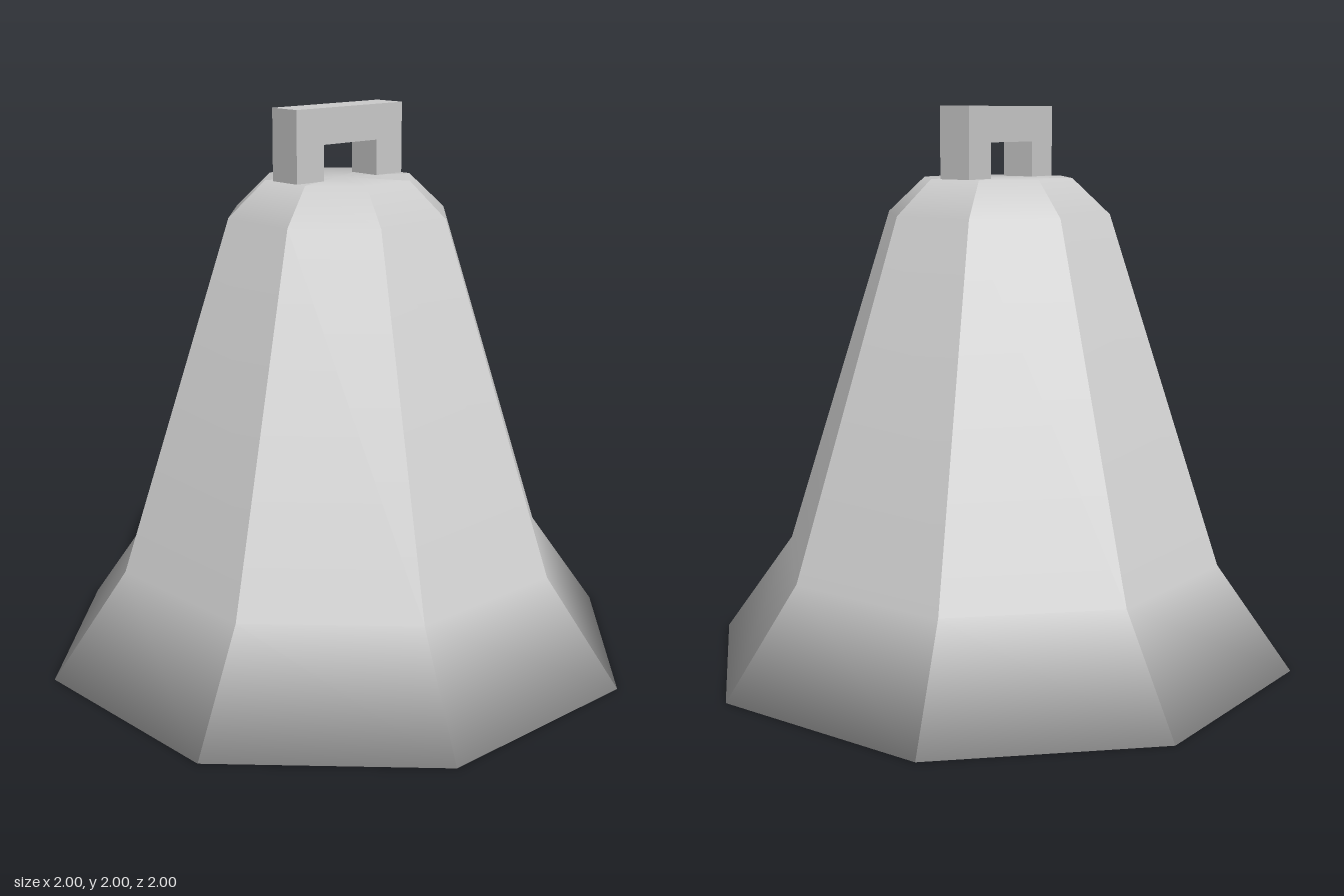
import * as THREE from 'three';

const SIDES = 8;
const STEP = (Math.PI * 2) / SIDES;

// Bell profile [flat-side radius, height]: crown, outer wall, rim, inner wall.
const PROFILE = [
  [0, 1.75], [0.25, 1.75], [0.375, 1.625], [0.75, 0.375], [1, 0],
  [0.875, 0], [0.625, 0.375], [0.25, 1.625], [0, 1.625],
].map(([r, y]) => new THREE.Vector2(r, y));

// Normal of each profile point, averaged from the segments that meet there
function profileNormals(points) {
  const segments = points.slice(1).map((p, i) => {
    const d = p.clone().sub(points[i]).normalize();
    return new THREE.Vector2(-d.y, d.x);
  });
  return points.map((_, i) => {
    const n = new THREE.Vector2();
    if (i > 0) n.add(segments[i - 1]);
    if (i < segments.length) n.add(segments[i]);
    return n.normalize();
  });
}

// Octagonal shell: smooth along the profile, sharp between panels
function bellGeometry() {
  const normals = profileNormals(PROFILE);
  const pos = [], nor = [], index = [];
  for (let s = 0; s < SIDES; s++) {
    const mid = s * STEP;
    const base = pos.length / 3;
    PROFILE.forEach((p, i) => {
      for (const side of [-0.5, 0.5]) {
        const a = mid + side * STEP;
        const r = p.x / Math.cos(STEP / 2);
        const n = normals[i];
        pos.push(Math.sin(a) * r, p.y, Math.cos(a) * r);
        nor.push(Math.sin(mid) * n.x, n.y, Math.cos(mid) * n.x);
      }
      if (i < PROFILE.length - 1) {
        const k = base + i * 2;
        if (p.x > 0) index.push(k, k + 3, k + 1);
        if (PROFILE[i + 1].x > 0) index.push(k, k + 2, k + 3);
        else index.push(k, k + 2, k + 1);
      }
    });
  }
  const g = new THREE.BufferGeometry();
  g.setAttribute('position', new THREE.Float32BufferAttribute(pos, 3));
  g.setAttribute('normal', new THREE.Float32BufferAttribute(nor, 3));
  g.setIndex(index);
  return g;
}

// Square hanging loop, open at the bottom
function handleGeometry() {
  const shape = new THREE.Shape([
    [-0.25, 1.75], [-0.125, 1.75], [-0.125, 1.875], [0.125, 1.875],
    [0.125, 1.75], [0.25, 1.75], [0.25, 2], [-0.25, 2],
  ].map(([z, y]) => new THREE.Vector2(z, y)));
  const g = new THREE.ExtrudeGeometry(shape, { depth: 0.125, bevelEnabled: false });
  g.translate(0, 0, -0.0625);
  g.rotateY(Math.PI / 2);
  return g;
}

export function createModel() {
  const group = new THREE.Group();
  group.name = 'bell';
  const material = new THREE.MeshStandardMaterial({ color: 0xcccccc });

  const body = new THREE.Mesh(bellGeometry(), material);
  body.name = 'bellBody';
  const handle = new THREE.Mesh(handleGeometry(), material);
  handle.name = 'handle';

  group.add(body, handle);
  return group;
}
